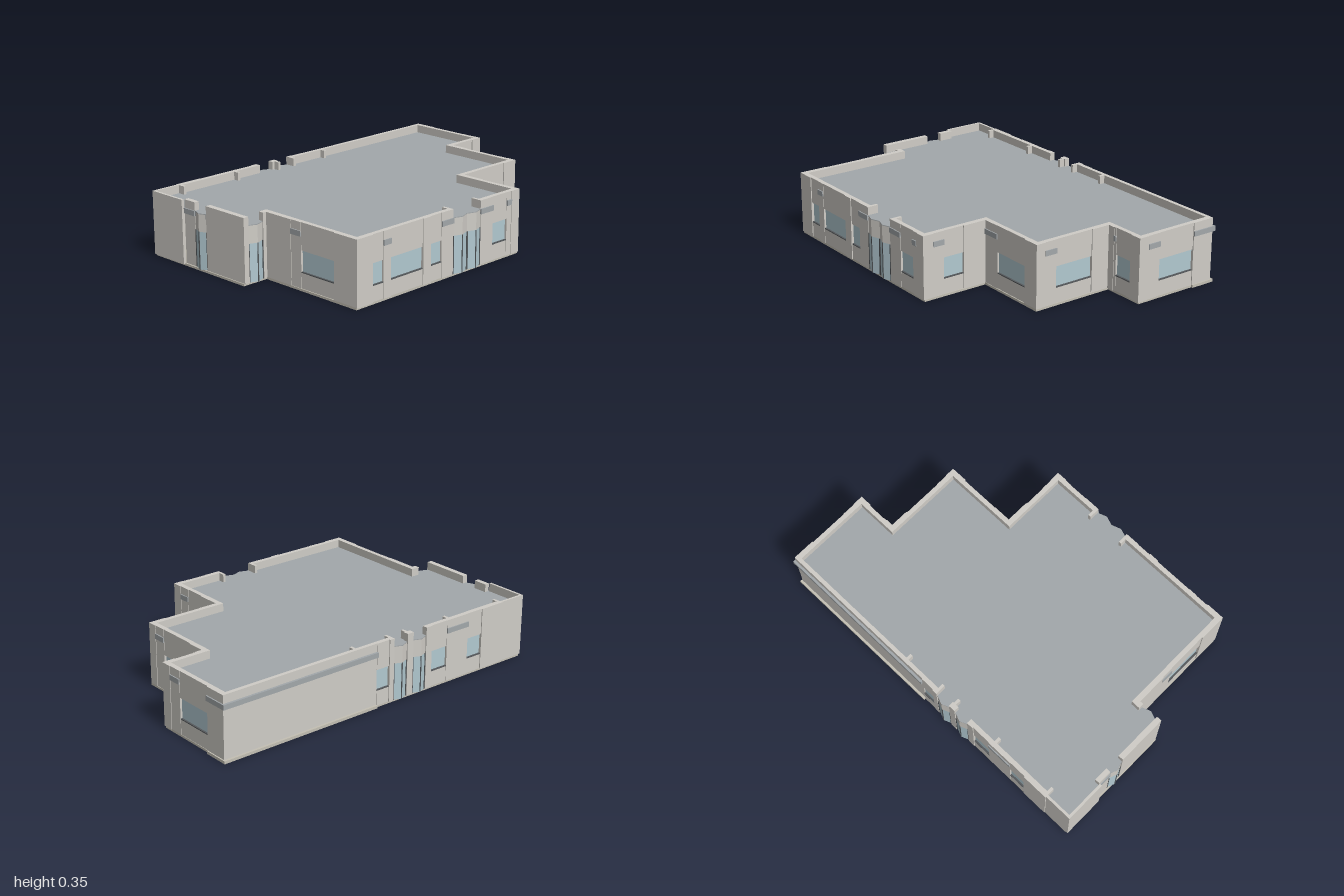
import * as THREE from 'three';

const TOP = 0.35, BASE = 0.01, SLAB0 = 0.278, SLAB1 = 0.306;
const mat = (color) => new THREE.MeshStandardMaterial({ color });
const wallMat = mat(0xd0cdc7), roofMat = mat(0xa3a8ab), glassMat = mat(0xb2c9d1);
const floorMat = mat(0xc4c0b4), frameMat = mat(0x55595c);

// Building outline as (x, z), starting at the front
const outline = [[-0.84, 0.65], [0.34, 0.65], [0.34, 0.28], [0.76, 0.28], [0.76, -0.18],
  [0.99, -0.18], [0.99, -0.665], [-0.99, -0.665], [-0.99, 0.02], [-0.84, 0.02]];

// Moves every edge of a right-angled outline inward
function inset(points, t) {
  const n = points.length;
  const inward = (i) => {
    const a = points[i % n], b = points[(i + 1) % n];
    return [Math.sign(b[1] - a[1]) * t, -Math.sign(b[0] - a[0]) * t];
  };
  return points.map(([x, z], i) => {
    const p = inward(i + n - 1), q = inward(i);
    return [x + p[0] + q[0], z + p[1] + q[1]];
  });
}

// Upright prism over an (x, z) polygon
function prism(parent, name, points, y0, y1, material) {
  const shape = new THREE.Shape(points.map(([x, z]) => new THREE.Vector2(x, -z)));
  const geo = new THREE.ExtrudeGeometry(shape, { depth: y1 - y0, bevelEnabled: false });
  geo.rotateX(-Math.PI / 2).translate(0, y0, 0);
  const mesh = new THREE.Mesh(geo, material);
  mesh.name = name;
  parent.add(mesh);
}

// Wall along x or z at pos, facing sign; openings are [from, to, kind] in rising order
function buildWall(root, { name, axis, pos, sign, from, to, thick = 0.03, openings = [] }) {
  const group = new THREE.Group();
  group.name = name;
  root.add(group);
  const place = (u, d) => (axis === 'x' ? [u, pos + sign * d] : [pos + sign * d, u]);

  const box = (part, a, b, y0, y1, d0, d1, material = wallMat) => {
    const w = b - a, d = d1 - d0;
    const geo = new THREE.BoxGeometry(axis === 'x' ? w : d, y1 - y0, axis === 'x' ? d : w);
    const mesh = new THREE.Mesh(geo, material);
    const [x, z] = place((a + b) / 2, (d0 + d1) / 2);
    mesh.position.set(x, (y0 + y1) / 2, z);
    mesh.name = part;
    group.add(mesh);
  };

  const kinds = {
    solid: (a, b) => box('wallPanel', a, b, BASE, TOP, -thick, 0),
    // Sill, lintel and recessed glass
    window: (a, b) => {
      box('sill', a, b, BASE, 0.095, -thick, -0.005);
      box('lintel', a, b, 0.207, TOP, -thick, -0.005);
      box('windowFrame', a, b, 0.093, 0.098, -thick, -0.004, frameMat);
      box('windowGlass', a, b, 0.095, 0.207, -thick, -0.014, glassMat);
    },
    // Panel with the roof slab edge showing
    slabEnd: (a, b) => {
      box('wallPanel', a, b, BASE, TOP, -thick, -0.003);
      box('slabEnd', a, b, SLAB0, SLAB1, -thick, 0.003, roofMat);
    },
    // Folded full-height glass bay under a low lintel
    bay: (a, b) => {
      const m = (a + b) / 2;
      const plan = [place(a, -thick), place(a, -0.006), place(m, 0.012), place(b, -0.006), place(b, -thick)];
      prism(group, 'bayGlass', plan, BASE, 0.21, glassMat);
      prism(group, 'bayLintel', plan, 0.21, SLAB1 - 0.004, wallMat);
      prism(group, 'bayCap', plan, SLAB1 - 0.004, SLAB1, roofMat);
      for (const u of [a + 0.003, m, b - 0.003]) {
        const d = u === m ? 0.013 : -0.002;
        box('bayMullion', u - 0.003, u + 0.003, BASE, 0.21, d - 0.012, d, frameMat);
      }
    },
  };

  let u = from;
  for (const [a, b, kind] of openings) {
    if (a > u + 1e-4) kinds.solid(u, a);
    kinds[kind](a, b);
    u = b;
  }
  if (to > u + 1e-4) kinds.solid(u, to);
}

const walls = [
  { name: 'frontWall', axis: 'x', pos: 0.655, sign: 1, from: -0.84, to: 0.34, openings: [
    [-0.735, -0.66, 'window'], [-0.66, -0.61, 'slabEnd'], [-0.61, -0.385, 'window'],
    [-0.33, -0.25, 'window'], [-0.25, -0.165, 'slabEnd'], [-0.165, -0.06, 'bay'],
    [-0.06, 0.04, 'bay'], [0.04, 0.135, 'slabEnd'], [0.135, 0.245, 'window'], [0.245, 0.28, 'slabEnd']] },
  { name: 'frontLeftSideWall', axis: 'z', pos: 0.34, sign: 1, from: 0.28, to: 0.655, openings: [
    [0.41, 0.53, 'window'], [0.53, 0.595, 'slabEnd']] },
  { name: 'middleFrontWall', axis: 'x', pos: 0.28, sign: 1, from: 0.31, to: 0.76, openings: [
    [0.34, 0.44, 'slabEnd'], [0.44, 0.665, 'window']] },
  { name: 'middleSideWall', axis: 'z', pos: 0.76, sign: 1, from: -0.18, to: 0.28, openings: [
    [-0.07, 0.155, 'window'], [0.155, 0.225, 'slabEnd']] },
  { name: 'rearWingFrontWall', axis: 'x', pos: -0.175, sign: 1, from: 0.73, to: 0.993, openings: [
    [0.8, 0.815, 'slabEnd'], [0.815, 0.925, 'window']] },
  { name: 'leftEndWall', axis: 'z', pos: 0.993, sign: 1, from: -0.662, to: -0.175, openings: [
    [-0.535, -0.31, 'window'], [-0.31, -0.235, 'slabEnd']] },
  { name: 'backWallLeft', axis: 'x', pos: -0.662, sign: -1, from: 0.04, to: 0.993, thick: 0.022 },
  { name: 'backWallMiddle', axis: 'x', pos: -0.67, sign: -1, from: -0.84, to: 0.04, openings: [
    [-0.69, -0.59, 'window'], [-0.59, -0.44, 'slabEnd'], [-0.44, -0.33, 'window'],
    [-0.29, -0.2, 'bay'], [-0.16, -0.07, 'bay'], [-0.04, 0.04, 'window']] },
  { name: 'backWallRight', axis: 'x', pos: -0.665, sign: -1, from: -1, to: -0.84, thick: 0.014 },
  { name: 'rightEndWallBack', axis: 'z', pos: -1, sign: -1, from: -0.665, to: -0.43, thick: 0.014 },
  { name: 'rightEndWall', axis: 'z', pos: -0.985, sign: -1, from: -0.43, to: 0.022, openings: [
    [-0.43, -0.35, 'slabEnd'], [-0.35, -0.26, 'bay']] },
  { name: 'rightNotchWall', axis: 'x', pos: 0.025, sign: 1, from: -0.985, to: -0.81, openings: [
    [-0.955, -0.86, 'bay']] },
  { name: 'rightFrontSideWall', axis: 'z', pos: -0.84, sign: -1, from: 0.02, to: 0.655, openings: [
    [0.2, 0.27, 'slabEnd'], [0.27, 0.5, 'window']] },
];

export function createModel() {
  const root = new THREE.Group();
  root.name = 'building';

  // Floor and roof slabs
  prism(root, 'floorSlab', outline, 0, BASE + 0.002, floorMat);
  prism(root, 'roofSlab', inset(outline, 0.008), SLAB0, SLAB1, roofMat);

  walls.forEach((w) => buildWall(root, w));

  // Slab ledges wrapping the back left corner
  const ledge = [[0.04, -0.64], [0.04, -0.675], [1, -0.675], [1, -0.535], [0.97, -0.535], [0.97, -0.64]];
  prism(root, 'upperLedge', ledge, SLAB0, SLAB1 - 0.001, roofMat);
  prism(root, 'lowerLedge', ledge, 0, 0.015, floorMat);

  // Short parapet returns standing on the roof
  const stub = (x, z0, z1) => prism(root, 'parapetReturn',
    [[x - 0.008, z0], [x + 0.008, z0], [x + 0.008, z1], [x - 0.008, z1]], SLAB1, TOP, wallMat);
  [-0.173, 0.048].forEach((x) => stub(x, 0.59, 0.65));
  [-0.832, -0.465, -0.175, -0.062, 0.17].forEach((x) => stub(x, -0.66, -0.61));

  return root;
}
